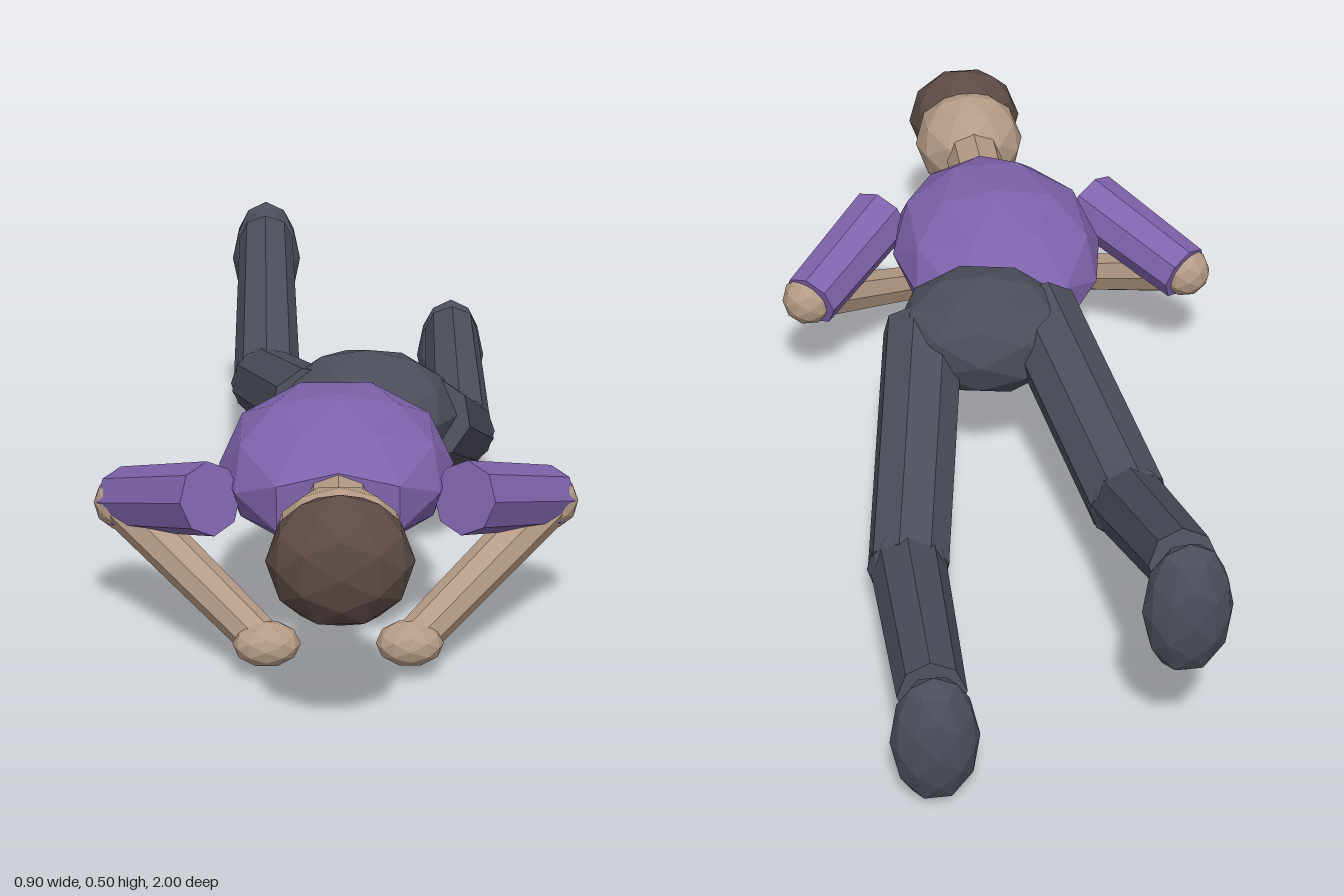
import * as THREE from 'three';

const mat = (name, color) => {
  const m = new THREE.MeshStandardMaterial({ color, flatShading: true });
  m.name = name;
  return m;
};

export function createModel() {
  const model = new THREE.Group();
  model.name = 'lyingFigure';
  const shirt = mat('purple shirt', 0x7f63ac);
  const trousers = mat('dark grey trousers', 0x4b4e5a);
  const skin = mat('skin', 0xb59b85);
  const hairBrown = mat('brown hair', 0x5c4a45);
  const eyeDark = mat('dark eyes', 0x3a2c28);

  const add = (name, geometry, material) => {
    const mesh = new THREE.Mesh(geometry, material);
    mesh.name = name;
    model.add(mesh);
    return mesh;
  };

  // faceted ellipsoid with the given centre and radii
  const blob = (name, material, centre, radii, detail = 1) => {
    const g = new THREE.IcosahedronGeometry(1, detail);
    g.scale(...radii);
    const mesh = add(name, g, material);
    mesh.position.set(...centre);
    return mesh;
  };

  // eight-sided tapered limb running from a to b
  const limb = (name, material, a, b, ra, rb) => {
    const from = new THREE.Vector3(...a), to = new THREE.Vector3(...b);
    const dir = to.clone().sub(from);
    const mesh = add(name, new THREE.CylinderGeometry(rb, ra, dir.length(), 8), material);
    mesh.position.copy(from).add(to).multiplyScalar(0.5);
    mesh.quaternion.setFromUnitVectors(new THREE.Vector3(0, 1, 0), dir.normalize());
    return mesh;
  };

  // torso, blunt at both ends
  const torso = blob('torso', shirt, [0, 0.31, 0.36], [0.215, 0.134, 0.31]);
  const p = torso.geometry.attributes.position;
  for (let i = 0; i < p.count; i++) p.setZ(i, THREE.MathUtils.clamp(p.getZ(i), -0.265, 0.265));
  torso.geometry.computeVertexNormals();

  // hips, swung a little to one side
  blob('hips', trousers, [0.065, 0.313, 0.045], [0.175, 0.122, 0.145]).rotation.y = -0.2;

  // neck and head, face down
  limb('neck', skin, [0, 0.318, 0.58], [0, 0.318, 0.74], 0.06, 0.06);
  blob('head', skin, [0, 0.313, 0.82], [0.118, 0.11, 0.12]);
  blob('hair', hairBrown, [0, 0.326, 0.905], [0.123, 0.114, 0.095]);

  // bent arms, mirrored
  for (const [side, s] of [['left', 1], ['right', -1]]) {
    const elbow = [s * 0.395, 0.23, 0.34], hand = [s * 0.13, 0.07, 0.635];
    blob(side + 'Eye', eyeDark, [s * 0.04, 0.215, 0.85], [0.014, 0.009, 0.014], 0);
    limb(side + 'UpperArm', shirt, [s * 0.225, 0.302, 0.53], [s * 0.393, 0.232, 0.328], 0.067, 0.06);
    blob(side + 'Elbow', skin, elbow, [0.053, 0.053, 0.053]);
    limb(side + 'Forearm', skin, elbow, hand, 0.046, 0.038);
    blob(side + 'Hand', skin, [s * 0.126, 0.07, 0.638], [0.06, 0.041, 0.047]);
  }

  // legs, each in its own pose
  const legs = [
    { side: 'left', hip: [0.185, 0.305, 0.07], knee: [0.272, 0.115, -0.435], ankle: [0.28, 0.207, -0.91], foot: [0.28, 0.138, -0.942] },
    { side: 'right', hip: [-0.045, 0.325, 0.07], knee: [-0.138, 0.222, -0.44], ankle: [-0.145, 0.43, -0.9], foot: [-0.145, 0.37, -0.942] },
  ];
  for (const { side, hip, knee, ankle, foot } of legs) {
    limb(side + 'Thigh', trousers, hip, knee, 0.08, 0.077);
    blob(side + 'Knee', trousers, knee, [0.077, 0.077, 0.06]);
    limb(side + 'Shin', trousers, knee, ankle, 0.071, 0.06);
    blob(side + 'Foot', trousers, foot, [0.077, 0.132, 0.058]);
  }
  return model;
}
